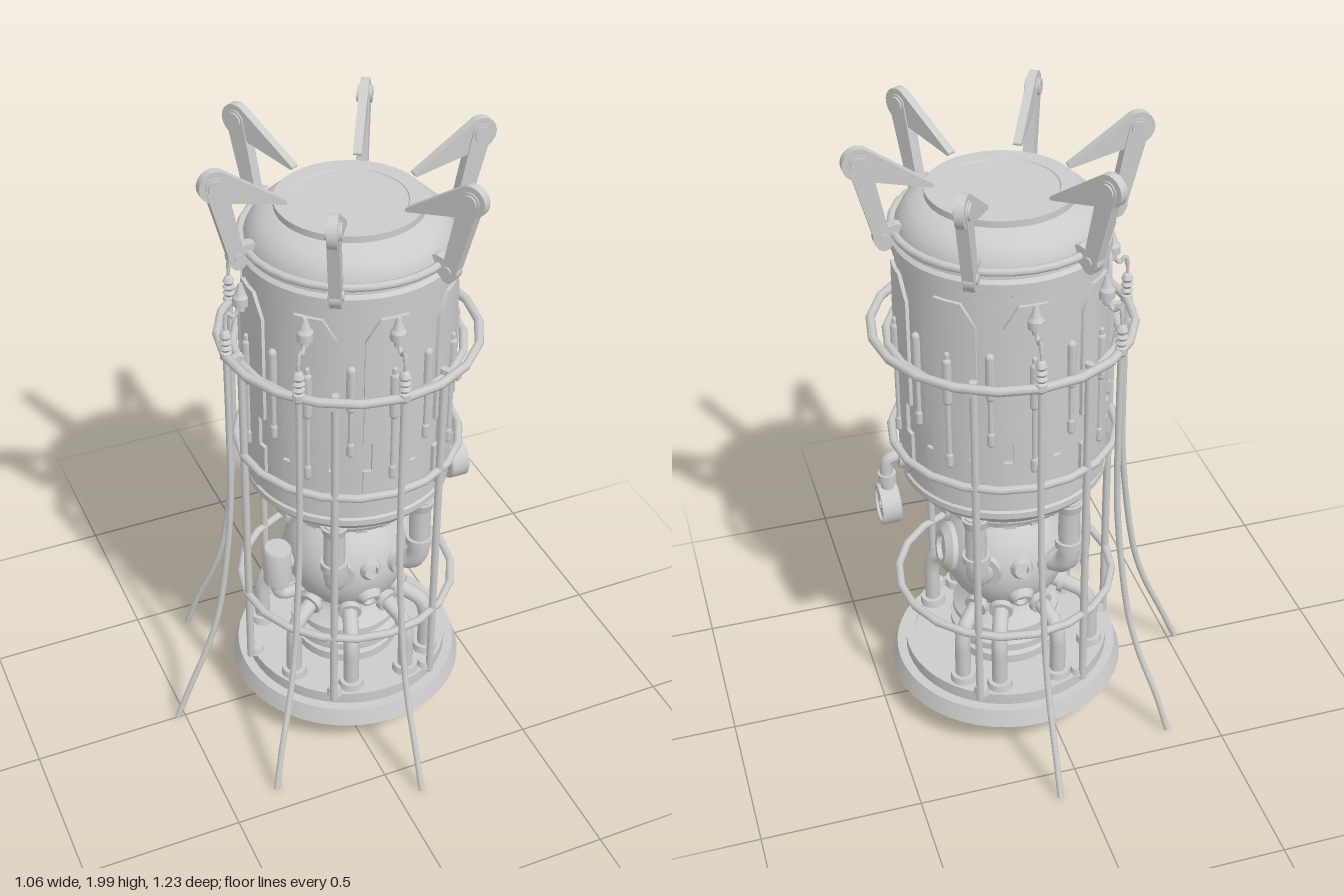
import * as THREE from 'three';
import { toCreasedNormals } from 'three/addons/utils/BufferGeometryUtils.js';

const mat = new THREE.MeshStandardMaterial({ color: 0xcccccc });
const rad = THREE.MathUtils.degToRad;

export function createModel() {
  const model = new THREE.Group();
  const body = new THREE.Group();
  body.name = 'body';
  body.position.x = 0.08;
  model.add(body);

  // ---- helpers ----
  function add(name, geo, x = 0, y = 0, z = 0, parent = body) {
    const m = new THREE.Mesh(geo, mat);
    m.name = name;
    m.position.set(x, y, z);
    parent.add(m);
    return m;
  }
  // group whose local +x points outward at the given angle (0 = +x, 90 = front)
  function spoke(name, deg) {
    const g = new THREE.Group();
    g.name = name;
    g.rotation.y = -rad(deg);
    body.add(g);
    return g;
  }
  const lathe = (pts, seg = 40) => toCreasedNormals(
    new THREE.LatheGeometry(pts.map(p => new THREE.Vector2(...p)), seg), 0.6);
  const cyl = (r1, r2, h, seg = 16) => new THREE.CylinderGeometry(r1, r2, h, seg);
  // pipe in the local radial plane, points are [radius, height]
  const pipe = (pts, r, seg = 20) => new THREE.TubeGeometry(new THREE.CatmullRomCurve3(
    pts.map(p => new THREE.Vector3(p[0], p[1], p[2] || 0))), seg, r, 10);
  function ring(name, r, y, t, seg = 20) {
    add(name, new THREE.TorusGeometry(r, t, 8, seg), 0, y).rotation.x = Math.PI / 2;
  }
  // flat link with rounded ends, in the radial plane
  function link(a, ra, b, rb, depth) {
    const t = Math.atan2(b[1] - a[1], b[0] - a[0]), q = Math.PI / 2;
    const s = new THREE.Shape();
    s.absarc(a[0], a[1], ra, t + q, t + 3 * q, false);
    s.absarc(b[0], b[1], rb, t - q, t + q, false);
    const g = new THREE.ExtrudeGeometry(s, { depth, bevelEnabled: false, curveSegments: 10 });
    return g.translate(0, 0, -depth / 2);
  }
  // curved plate hugging the tank, with cut corners at top and/or bottom
  function plate(w, y0, y1, R, t, cutTop, cutBottom) {
    const g = new THREE.BoxGeometry(w, y1 - y0, t, 8, 1, 1);
    const p = g.attributes.position;
    for (let i = 0; i < p.count; i++) {
      const x = p.getX(i), y = p.getY(i), r = R + p.getZ(i);
      const k = Math.max(0, Math.abs(x) - w * 0.25) / (w * 0.25);
      const ny = (y0 + y1) / 2 + y - (y > 0 ? cutTop * k : -cutBottom * k);
      p.setXYZ(i, r * Math.cos(x / R), ny, -r * Math.sin(x / R));
    }
    return toCreasedNormals(g, 0.6);
  }

  // ---- base, foot and sphere ----
  add('base', lathe([[0, 0.11], [0.378, 0.11], [0.36, 0.165], [0.33, 0.165], [0.33, 0.205],
    [0.3, 0.205], [0.3, 0.195], [0, 0.195]], 48));
  add('foot', lathe([[0.17, 0.195], [0.17, 0.225], [0.145, 0.235], [0.145, 0.25], [0.18, 0.255],
    [0.18, 0.28], [0.155, 0.29], [0.155, 0.31], [0.172, 0.315], [0.172, 0.335], [0.13, 0.37],
    [0.115, 0.4], [0.115, 0.43]]));
  add('sphere', new THREE.SphereGeometry(0.197, 40, 28), 0, 0.555);
  add('neck', lathe([[0.12, 0.69], [0.12, 0.705], [0.09, 0.71], [0.09, 0.72], [0.125, 0.725],
    [0.125, 0.745], [0.16, 0.755], [0.16, 0.775], [0.12, 0.78], [0.12, 0.85]]));

  // ---- tank ----
  add('tank', lathe([[0, 0.83], [0.24, 0.83], [0.265, 0.845], [0.275, 0.865], [0.3, 0.875],
    [0.315, 0.895], [0.315, 0.915], [0.308, 0.92], [0.308, 1.65], [0.316, 1.655], [0.316, 1.69],
    [0.305, 1.7], [0.302, 1.73], [0.285, 1.765], [0.26, 1.79], [0.225, 1.808], [0.217, 1.81],
    [0.217, 1.83], [0.168, 1.83], [0.165, 1.826], [0, 1.826]], 48));
  ring('domeRing', 0.312, 1.727, 0.012, 32);
  for (let a = 0; a < 360; a += 45) {
    const g = spoke('tankPanel', a);
    add('upperPanel', plate(0.17, 1.2, 1.62, 0.312, 0.014, 0.07, 0), 0, 0, 0, g);
    add('middlePanel', plate(0.12, 1.1, 1.2, 0.312, 0.014, 0, 0), 0, 0, 0, g);
    add('lowerPanel', plate(0.17, 0.93, 1.1, 0.312, 0.014, 0, 0.05), 0, 0, 0, g);
  }
  for (let i = 0; i < 16; i++) {
    const g = spoke('tankRod', i * 22.5), r = i % 2 ? 0.312 : 0.322;
    const y = i % 2 ? 1.32 : 1.27, h = i % 2 ? 0.28 : 0.36;
    add('thinRod', new THREE.CapsuleGeometry(0.008, h, 4, 8), r, y, 0, g);
    add('rodSleeve', new THREE.CapsuleGeometry(0.014, 0.13, 4, 8), r, y + h * 0.25, 0, g);
    add('rodEnd', new THREE.CapsuleGeometry(0.012, 0.03, 4, 8), r, y - h / 2, 0, g);
  }

  // ---- clutter below the tank ----
  ring('underRing', 0.2, 0.79, 0.013, 28);
  ring('underRing', 0.23, 0.825, 0.016, 28);
  for (let i = 0; i < 16; i++) {
    const g = spoke('underPipe', i * 22.5 + 11);
    add('shortPipe', pipe([[0.2, 0.84], [0.195, 0.79], [0.17, 0.76], [0.12, 0.755]], 0.01, 8), 0, 0, 0, g);
    add('underBlock', new THREE.BoxGeometry(0.03, 0.03, 0.035), 0.195, 0.79, 0, g);
  }

  // ---- large pipes from tank to sphere ----
  for (const a of [55, 122, 238, 305]) {
    const g = spoke('upperPipe', a);
    add('feedPipe', pipe([[0.265, 0.86], [0.265, 0.76], [0.265, 0.67], [0.255, 0.625], [0.225, 0.6],
      [0.16, 0.59]], 0.034), 0, 0, 0, g);
    add('pipeCollar', cyl(0.043, 0.043, 0.025), 0.265, 0.7, 0, g);
    add('pipeCollar', cyl(0.043, 0.036, 0.03), 0.265, 0.84, 0, g);
    add('pipeFlange', cyl(0.055, 0.055, 0.02), 0.193, 0.595, 0, g).rotation.z = Math.PI / 2;
  }

  // ---- pipes from base to sphere ----
  for (const a of [45, 70, 110, 150, 210, 250, 290, 315]) {
    const g = spoke('lowerPipe', a);
    add('drainPipe', pipe([[0.28, 0.19], [0.28, 0.3], [0.278, 0.36], [0.26, 0.405], [0.22, 0.425],
      [0.14, 0.45]], 0.025), 0, 0, 0, g);
    add('footFlange', cyl(0.038, 0.042, 0.025), 0.28, 0.215, 0, g);
    add('pipeFlange', cyl(0.038, 0.038, 0.018), 0.188, 0.437, 0, g).rotation.z = Math.PI / 2 - 0.2;
  }

  // ---- portholes on the sphere ----
  function porthole(deg, y, s) {
    const g = spoke('porthole', deg), h = new THREE.Group();
    g.add(h);
    h.position.y = 0.555;
    h.rotation.z = Math.asin((y - 0.555) / 0.197) - Math.PI / 2;
    add('portholeFrame', lathe([[s * 1.4, 0.15], [s * 1.4, 0.195], [s, 0.215], [s * 0.7, 0.215],
      [s * 0.65, 0.2], [0, 0.2]], 24), 0, 0, 0, h);
  }
  porthole(0, 0.585, 0.058);
  for (const a of [90, 270]) {
    porthole(a, 0.6, 0.026);
    porthole(a, 0.48, 0.03);
  }

  // ---- side canister ----
  const can = spoke('canister', 180);
  add('canisterBody', lathe([[0, 0.47], [0.03, 0.47], [0.032, 0.485], [0.046, 0.49], [0.046, 0.615],
    [0.04, 0.625], [0, 0.625]], 20), 0.24, 0, 0, can);
  add('canisterPipe', pipe([[0.24, 0.48], [0.24, 0.44], [0.215, 0.42], [0.15, 0.43]], 0.02), 0, 0, 0, can);
  add('canisterMount', cyl(0.03, 0.03, 0.1), 0.2, 0.56, 0, can).rotation.z = Math.PI / 2;

  // ---- pressure gauge ----
  const gauge = spoke('gauge', 0);
  add('gaugePipe', pipe([[0.29, 0.97], [0.34, 0.97], [0.362, 0.963], [0.37, 0.94], [0.37, 0.85]], 0.02), 0, 0, 0, gauge);
  add('gaugeFlange', cyl(0.038, 0.038, 0.02), 0.325, 0.97, 0, gauge).rotation.z = Math.PI / 2;
  add('gaugeCollar', cyl(0.028, 0.028, 0.03), 0.37, 0.9, 0, gauge);
  add('gaugeCase', lathe([[0, -0.03], [0.06, -0.03], [0.064, -0.025], [0.064, 0.03], [0.054, 0.03],
    [0.052, 0.022], [0, 0.022]], 28), 0.37, 0.8, 0, gauge).rotation.z = -Math.PI / 2;
  add('gaugePin', cyl(0.007, 0.007, 0.01, 10), 0.394, 0.8, 0, gauge).rotation.z = Math.PI / 2;
  add('gaugeNeedle', new THREE.BoxGeometry(0.004, 0.05, 0.004), 0.394, 0.81, 0, gauge);

  // ---- cage ----
  ring('cageTopRing', 0.388, 1.395, 0.014);
  for (const y of [1.362, 1.022, 0.46]) ring('cageRing', 0.343, y, 0.013);
  for (const a of [60, 120, 180, 240, 300]) {
    const g = spoke('cagePost', a);
    add('post', cyl(0.012, 0.012, 1.2, 10), 0.34, 0.79, 0, g);
    add('postFoot', cyl(0.02, 0.026, 0.025, 12), 0.32, 0.212, 0, g);
    add('ringBracket', new THREE.BoxGeometry(0.06, 0.018, 0.02), 0.362, 1.38, 0, g);
  }

  // ---- claw arms around the lid ----
  for (let a = 0; a < 360; a += 60) {
    const g = spoke('clawArm', a), hub = [0.4, 1.952];
    add('claw', link(hub, 0.047, [0.2, 1.862], 0.006, 0.026), 0, 0, 0, g);
    add('strut', link(hub, 0.03, [0.342, 1.705], 0.022, 0.034), 0, 0, 0, g);
    add('strutFoot', link([0.34, 1.72], 0.032, [0.305, 1.735], 0.024, 0.03), 0, 0, 0, g);
    add('hubPin', cyl(0.024, 0.024, 0.046), hub[0], hub[1], 0, g).rotation.x = Math.PI / 2;
    add('footPin', cyl(0.015, 0.015, 0.044), 0.34, 1.72, 0, g).rotation.x = Math.PI / 2;
  }

  // ---- hanging cables with plugs and hooks ----
  for (const a of [90, 135, 180, 225, 270]) {
    const g = spoke('cable', a), e = a % 90 ? 0.0 : 0.01;
    add('cableLine', pipe([[0.385, 1.42], [0.385, 1.15], [0.39, 0.85], [0.415, 0.6], [0.445, 0.42],
      [0.485, 0.29], [0.55, 0.14], [0.595 + e, 0.008]], 0.01, 36), 0, 0, 0, g);
    add('cablePlug', lathe([[0.01, 1.38], [0.018, 1.39], [0.018, 1.41], [0.012, 1.415], [0.019, 1.425],
      [0.012, 1.435], [0.019, 1.445], [0.012, 1.455], [0.018, 1.465], [0.012, 1.48], [0.005, 1.485],
      [0.005, 1.53], [0, 1.535]], 12), 0.385, 0, 0, g);
    add('cableHook', pipe([[0.385, 1.51], [0.378, 1.54], [0.36, 1.525], [0.345, 1.54], [0.342, 1.57]], 0.007, 16), 0, 0, 0, g);
    add('socket', lathe([[0, 1.53], [0.012, 1.54], [0.012, 1.555], [0.024, 1.56], [0.024, 1.585],
      [0.016, 1.595], [0.006, 1.63], [0, 1.63]], 12), 0.335, 0, 0, g);
  }
  return model;
}
